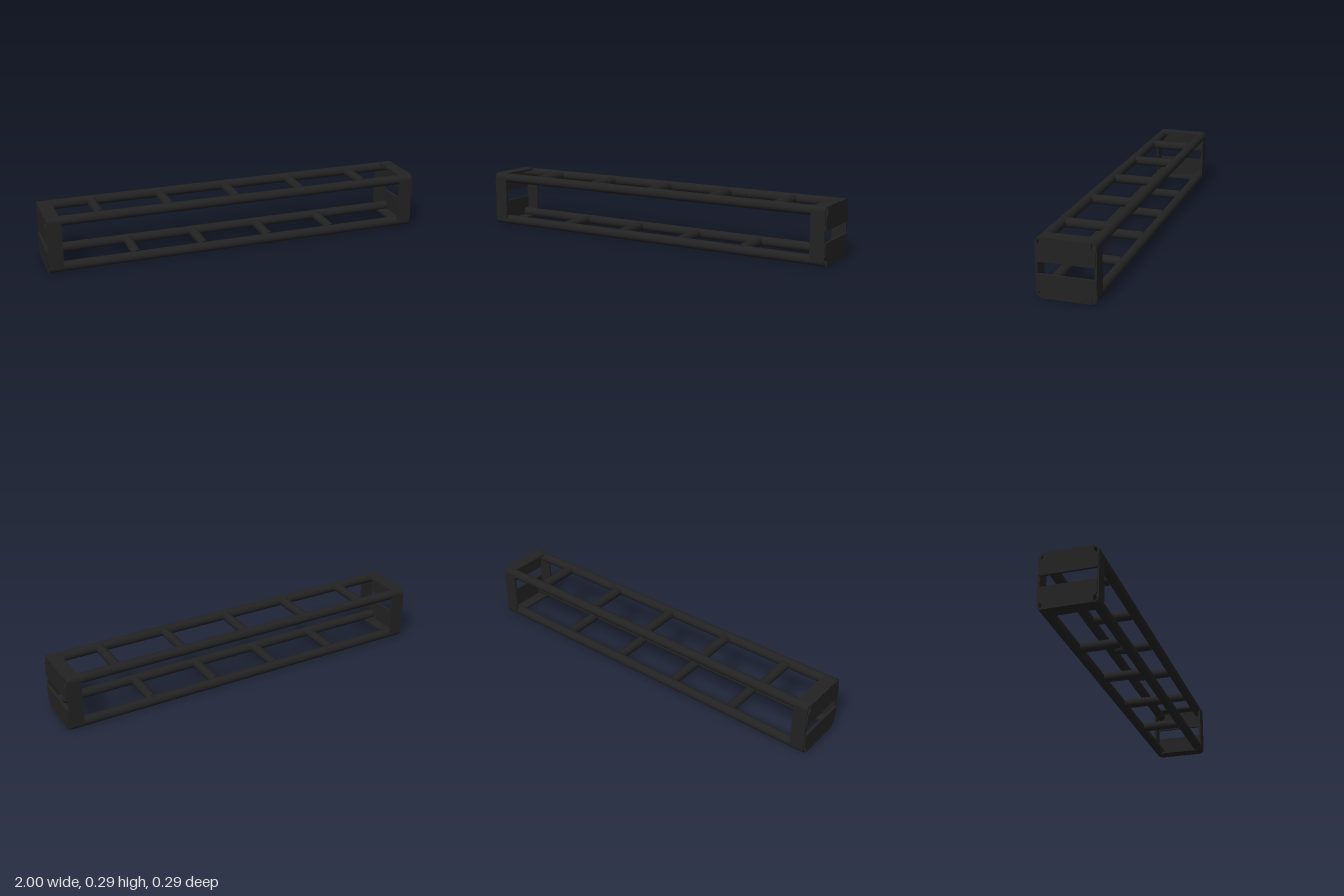
import * as THREE from 'three';

export function createModel() {
  const model = new THREE.Group();
  model.name = 'ladderFrame';
  const black = new THREE.MeshStandardMaterial({ color: 0x222222 });
  black.name = 'black steel';

  const H = 0.29, R = 0.025, END = 0.994, MID = H / 2;
  const C = MID - R; // tube axis offset from the centre line

  const add = (name, geometry, x, y, z) => {
    const mesh = new THREE.Mesh(geometry, black);
    mesh.name = name;
    mesh.position.set(x, y, z);
    model.add(mesh);
    return mesh;
  };

  // Four hollow corner tubes
  const ring = new THREE.Shape().absarc(0, 0, R, 0, Math.PI * 2, false);
  ring.holes.push(new THREE.Path().absarc(0, 0, 0.0155, 0, Math.PI * 2, true));
  const tube = new THREE.ExtrudeGeometry(ring, { depth: END * 2, bevelEnabled: false, curveSegments: 24 });
  tube.translate(0, 0, -END).rotateY(Math.PI / 2);
  for (const sy of [-1, 1]) for (const sz of [-1, 1]) add('cornerTube', tube, 0, MID + sy * C, sz * C);

  // Cross rungs, staggered between the top and bottom
  const rung = new THREE.CylinderGeometry(0.024, 0.024, 2 * C - 0.036, 24, 1, true).rotateX(Math.PI / 2);
  for (let i = -4; i <= 4; i++) {
    const top = i % 2 === 0;
    add(top ? 'topRung' : 'bottomRung', rung, i * 0.18, MID + (top ? C : -C), 0);
  }

  // End plate with its outer corners notched to leave the tube mouths open
  const half = [[0.141, 0.029], [0.141, 0.098], [0.121, 0.115], [0.121, 0.145]];
  const outline = [...half, ...half.map(([z, y]) => [-z, y]).reverse()];
  const plateShape = new THREE.Shape(outline.map(([z, y]) => new THREE.Vector2(z, y)));
  const plate = new THREE.ExtrudeGeometry(plateShape, { depth: 0.012, bevelEnabled: false });
  plate.translate(0, 0, -0.006).rotateY(Math.PI / 2);

  // Flat bars that join the tubes at each end
  const sideBar = new THREE.BoxGeometry(0.074, 2 * C, 0.011);
  const flatBar = new THREE.BoxGeometry(0.066, 0.011, 2 * C);
  for (const sx of [-1, 1]) {
    for (const s of [-1, 1]) {
      add('endPlate', plate, sx * 0.994, MID, 0).rotation.x = s > 0 ? 0 : Math.PI;
      add('endSideBar', sideBar, sx * (END - 0.037), MID, s * (MID - 0.0055));
      add('endCrossBar', flatBar, sx * (END - 0.033), MID + s * (MID - 0.0055), 0);
    }
  }
  return model;
}
